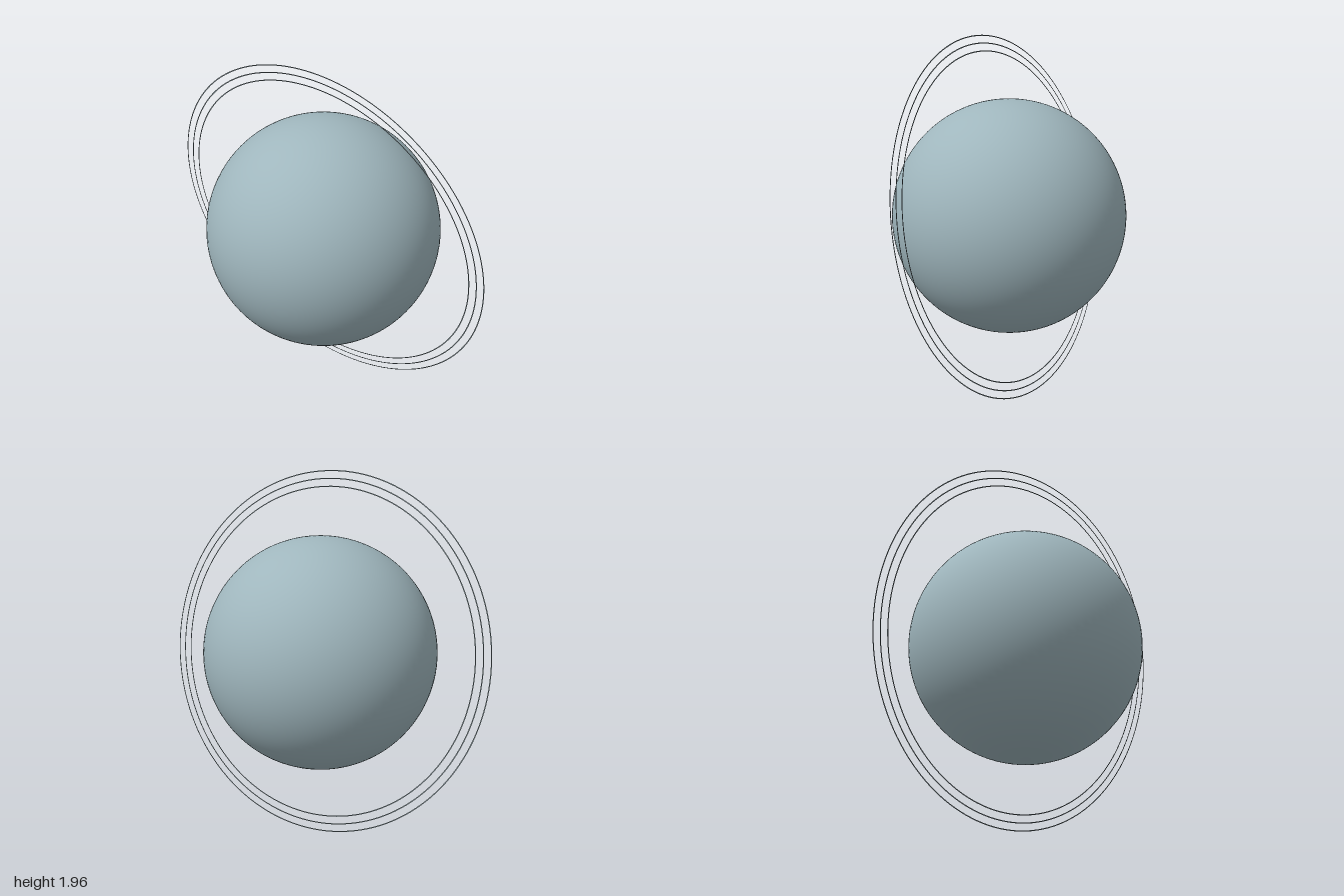
import * as THREE from 'three';

export function createModel() {
  const model = new THREE.Group();
  model.name = 'ringedPlanet';
  const planetBlue = new THREE.MeshStandardMaterial({ name: 'pale blue grey', color: 0x9fb6bd });
  const ringGrey = new THREE.MeshStandardMaterial({ name: 'ring grey', color: 0x8a999e, side: THREE.DoubleSide });

  // Everything shares one axis, tipped towards -x
  const system = new THREE.Group();
  system.name = 'tiltedSystem';
  system.position.y = 0.98;
  system.rotation.z = 0.2;
  model.add(system);

  // Smooth globe
  const planet = new THREE.Mesh(new THREE.SphereGeometry(0.645, 96, 64), planetBlue);
  planet.name = 'planet';
  system.add(planet);

  // Three thin, flat, upright rings
  const ringWidth = 0.006;
  [['innerRing', 0.915], ['middleRing', 0.958], ['outerRing', 1.0]].forEach(([name, outer]) => {
    const ring = new THREE.Mesh(new THREE.RingGeometry(outer - ringWidth, outer, 160), ringGrey);
    ring.name = name;
    ring.rotation.y = Math.PI / 2;
    system.add(ring);
  });

  return model;
}
